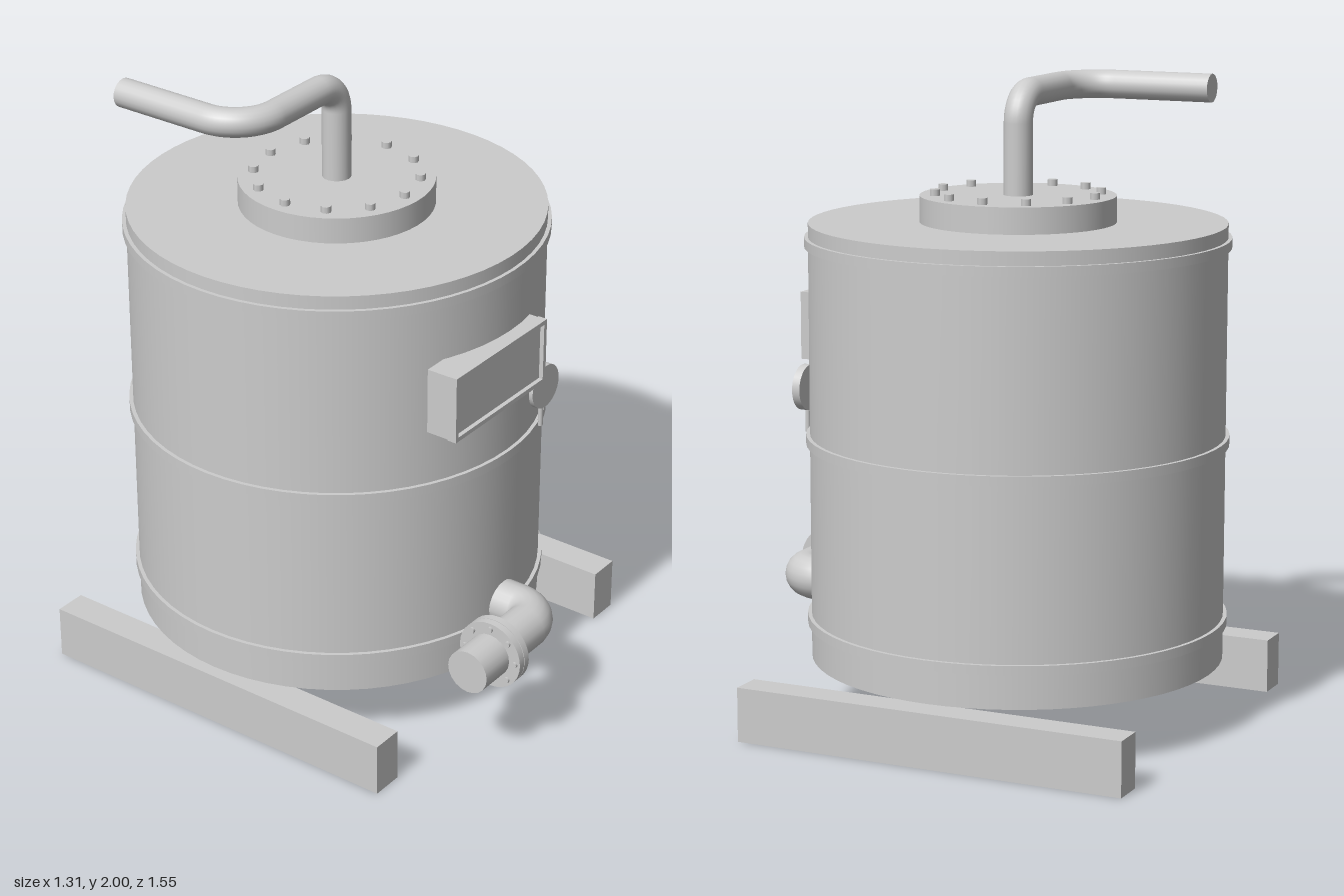
import * as THREE from 'three';

const steel = new THREE.MeshStandardMaterial({ color: 0xcccccc });
steel.name = 'pale grey steel';
const CZ = -0.12; // tank axis

function add(parent, name, geo, x = 0, y = 0, z = 0) {
  const m = new THREE.Mesh(geo, steel);
  m.name = name;
  m.position.set(x, y, z);
  parent.add(m);
  return m;
}

const cyl = (r, h, n = 48) => new THREE.CylinderGeometry(r, r, h, n);

// Round pipe through corner points, each inner corner rounded by its bend radius
function pipe(parent, name, points, bends, r) {
  const p = points.map((a) => new THREE.Vector3(...a));
  const path = new THREE.CurvePath();
  let from = p[0];
  for (let i = 1; i < p.length - 1; i++) {
    const inDir = p[i].clone().sub(p[i - 1]).normalize();
    const outDir = p[i + 1].clone().sub(p[i]).normalize();
    const b = bends[i - 1], k = b * 0.4477;
    const s = p[i].clone().addScaledVector(inDir, -b);
    const e = p[i].clone().addScaledVector(outDir, b);
    path.add(new THREE.LineCurve3(from, s));
    path.add(new THREE.CubicBezierCurve3(s, p[i].clone().addScaledVector(inDir, -k),
      p[i].clone().addScaledVector(outDir, k), e));
    from = e;
  }
  const end = p[p.length - 1];
  path.add(new THREE.LineCurve3(from, end));
  const g = new THREE.Group();
  g.name = name;
  parent.add(g);
  add(g, name + 'Tube', new THREE.TubeGeometry(path, 90, r, 20, false));
  // Closed outlet
  const cap = add(g, name + 'End', new THREE.CircleGeometry(r, 20), end.x, end.y, end.z);
  cap.quaternion.setFromUnitVectors(new THREE.Vector3(0, 0, 1),
    end.clone().sub(from).normalize());
}

// Ring of bolts around the y axis
function boltRing(parent, count, ring, r, h, y) {
  for (let i = 0; i < count; i++) {
    const a = (i / count) * Math.PI * 2;
    add(parent, 'bolt', cyl(r, h, 8), Math.cos(a) * ring, y, Math.sin(a) * ring);
  }
}

export function createModel() {
  const model = new THREE.Group();
  model.name = 'storageTank';

  // Tank shell with hoops
  const tank = new THREE.Group();
  tank.name = 'tank';
  tank.position.z = CZ;
  model.add(tank);
  add(tank, 'shell', cyl(0.645, 1.365, 64), 0, 0.8825, 0);
  for (const y of [0.322, 0.892, 1.507]) add(tank, 'hoop', cyl(0.657, 0.03, 64), 0, y, 0);

  // Bolted lid
  add(tank, 'lid', cyl(0.303, 0.083), 0, 1.6055, 0);
  boltRing(tank, 12, 0.256, 0.016, 0.03, 1.652);

  // Vent pipe on top
  pipe(model, 'ventPipe', [[0, 1.63, CZ], [0, 1.955, CZ], [-0.44, 1.955, CZ], [-0.44, 1.955, -0.58]],
    [0.085, 0.14], 0.045);

  // Drain pipe with flange joint
  pipe(model, 'drainPipe', [[0, 0.36, 0.45], [0, 0.36, 0.664], [-0.393, 0.36, 0.664]], [0.08], 0.071);
  const flange = new THREE.Group();
  flange.name = 'flange';
  flange.position.set(-0.25, 0.36, 0.664);
  flange.rotation.z = Math.PI / 2;
  model.add(flange);
  for (const s of [-1, 1]) add(flange, 'flangeDisc', cyl(0.111, 0.023, 32), 0, s * 0.0125, 0);
  add(flange, 'gasket', cyl(0.106, 0.01, 32));
  boltRing(flange, 8, 0.092, 0.01, 0.064, 0);

  // Instrument plate: backing, face and raised frame
  const plate = new THREE.Group();
  plate.name = 'instrumentPlate';
  plate.position.set(-0.108, 1.21, 0);
  model.add(plate);
  add(plate, 'backing', new THREE.BoxGeometry(0.466, 0.21, 0.078), 0, 0, 0.508);
  add(plate, 'face', new THREE.BoxGeometry(0.45, 0.195, 0.015), 0, 0, 0.5525);
  for (const s of [-1, 1]) {
    add(plate, 'frameBar', new THREE.BoxGeometry(0.47, 0.014, 0.03), 0, s * 0.1, 0.559);
    add(plate, 'frameSide', new THREE.BoxGeometry(0.014, 0.186, 0.03), s * 0.228, 0, 0.559);
  }

  // Dial gauge on its stem
  const dial = add(model, 'dial', cyl(0.072, 0.026, 32), 0.21, 1.032, 0.51);
  dial.rotation.x = Math.PI / 2;
  add(model, 'dialStem', cyl(0.008, 0.09, 10), 0.21, 0.935, 0.507);

  // Support rails
  for (const s of [-1, 1]) {
    add(model, 'rail', new THREE.BoxGeometry(0.104, 0.172, 1.275), s * 0.603, 0.086, -0.118);
  }
  return model;
}
